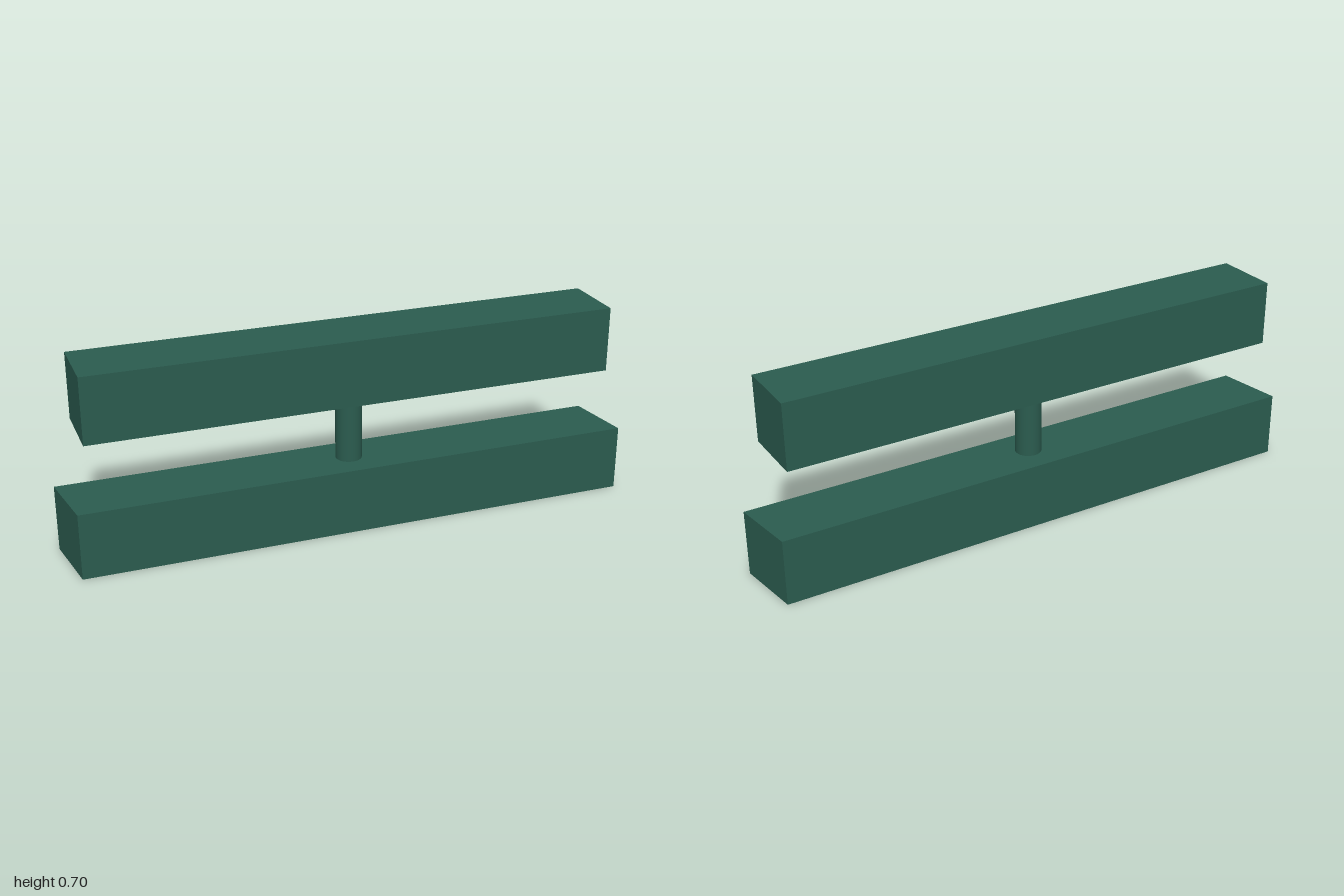
import * as THREE from 'three';

export function createModel() {
  const group = new THREE.Group();
  const material = new THREE.MeshStandardMaterial({ color: 0x2b5c4f });

  const add = (name, geometry, y) => {
    const mesh = new THREE.Mesh(geometry, material);
    mesh.name = name;
    mesh.position.y = y;
    group.add(mesh);
  };

  const beamHeight = 0.234;

  // Lower beam: a bar with slanted ends, extruded upward from its plan outline
  const plan = [[-0.965, 0.119], [1, 0.115], [0.965, -0.119], [-1, -0.115]];
  const outline = new THREE.Shape(plan.map(([x, z]) => new THREE.Vector2(x, -z)));
  const lower = new THREE.ExtrudeGeometry(outline, { depth: beamHeight, bevelEnabled: false });
  lower.rotateX(-Math.PI / 2);
  add('lowerBeam', lower, 0);

  // Round post joining the two beams
  add('post', new THREE.CylinderGeometry(0.046, 0.046, 0.236, 32), 0.352);

  // Upper beam: a square-ended bar
  add('upperBeam', new THREE.BoxGeometry(1.856, 0.232, 0.234), 0.586);

  return group;
}
